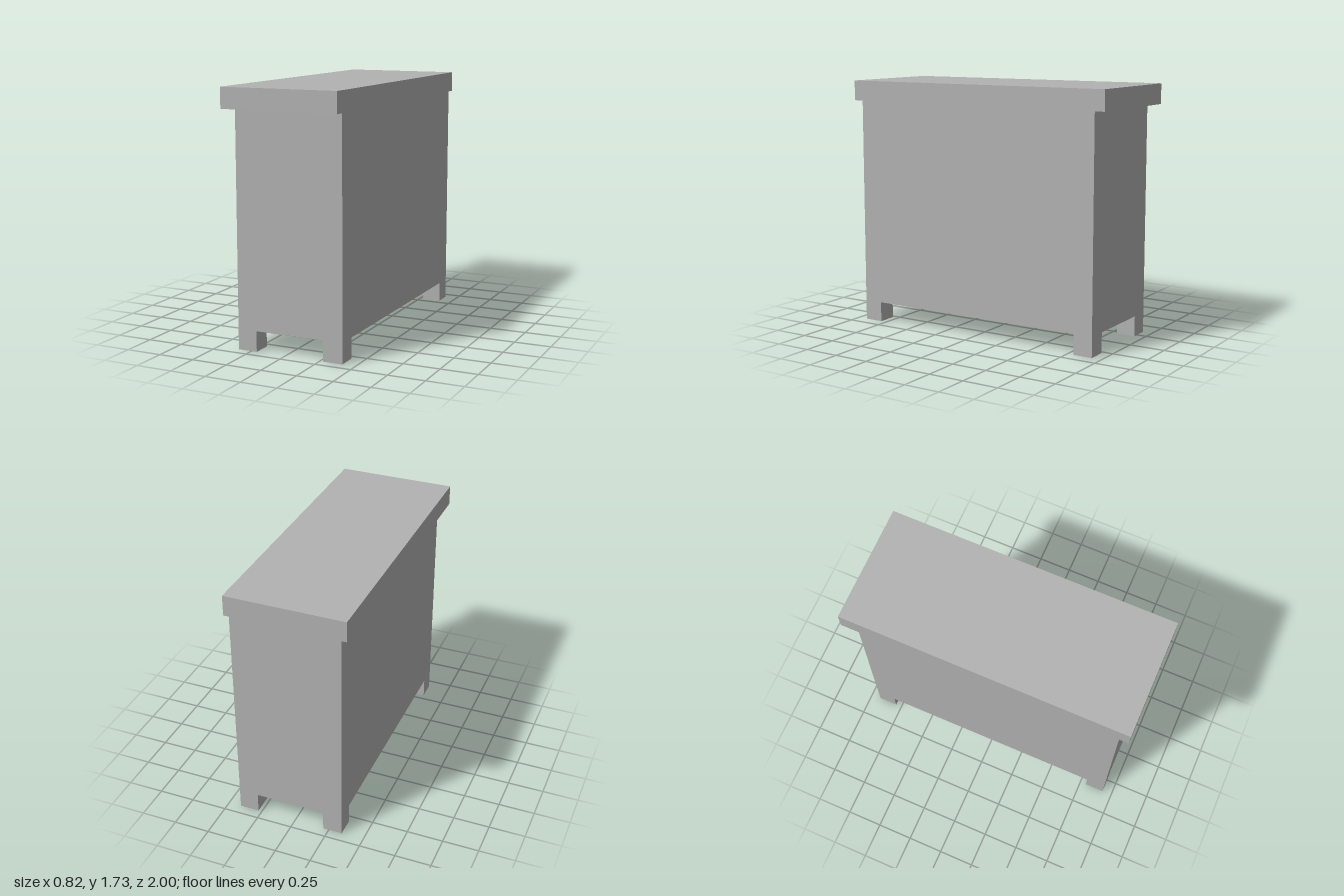
import * as THREE from 'three';

export function createModel() {
  const group = new THREE.Group();
  group.name = 'cabinet';
  const grey = new THREE.MeshStandardMaterial({ color: 0xb2b2b2, side: THREE.DoubleSide });
  grey.name = 'plain grey';

  const legHeight = 0.14, legSize = 0.135;
  const bodyTop = 1.59, height = 1.73;
  const left = 0.41, right = -0.345, halfDepth = 0.93;

  function add(name, geometry, x, y, z) {
    const mesh = new THREE.Mesh(geometry, grey);
    mesh.name = name;
    mesh.position.set(x, y, z);
    group.add(mesh);
  }

  // Body, flush with the top on the left side only
  add('body', new THREE.BoxGeometry(left - right, bodyTop - legHeight, halfDepth * 2),
    (left + right) / 2, (bodyTop + legHeight) / 2, 0);

  // Top slab, overhanging the front, back and right
  add('top', new THREE.BoxGeometry(left * 2, height - bodyTop, 2), 0, (height + bodyTop) / 2, 0);

  // Hollow legs: square tubes without top and bottom faces
  const legGeometry = new THREE.BoxGeometry(legSize, legHeight, legSize);
  const index = Array.from(legGeometry.index.array);
  legGeometry.setIndex([...index.slice(0, 12), ...index.slice(24)]);
  legGeometry.clearGroups();
  for (const [side, x] of [['Left', left - legSize / 2], ['Right', right + legSize / 2]]) {
    for (const [end, sign] of [['front', 1], ['back', -1]]) {
      add(`${end}${side}Leg`, legGeometry, x, legHeight / 2, sign * (halfDepth - legSize / 2));
    }
  }

  return group;
}
